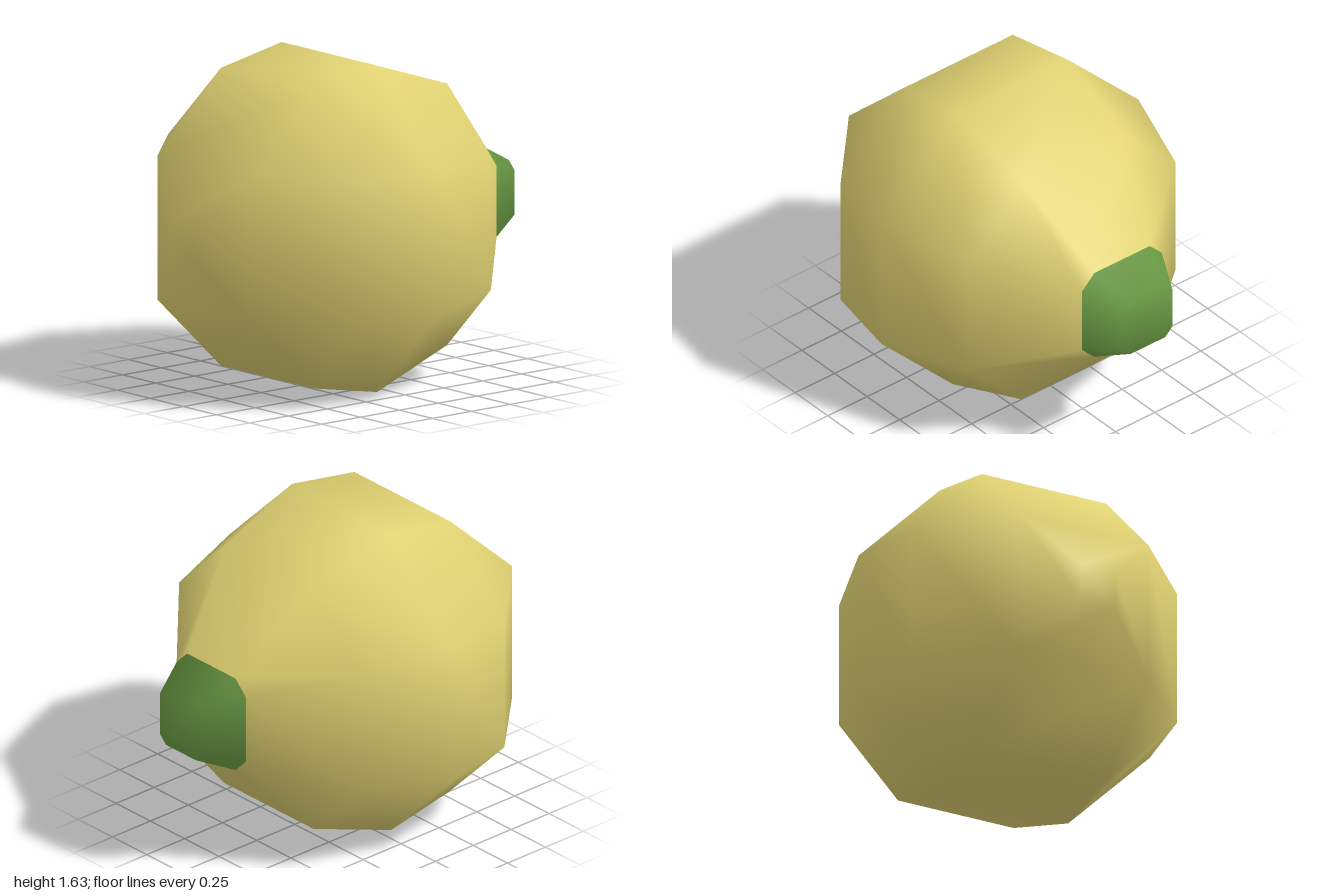
import * as THREE from 'three';
import { mergeVertices } from 'three/addons/utils/BufferGeometryUtils.js';

const CENTER_Y = 0.82;

// Chamfered square around the x axis: half width a, half length of each flat side b.
// When a equals b it becomes a plain square.
function ring([x, a, b]) {
  return [[a, -b], [a, b], [b, a], [-b, a], [-a, b], [-a, -b], [-b, -a], [b, -a]]
    .map(([y, z]) => new THREE.Vector3(x, y, z));
}

// Skin a list of cross-sections, with optional flat caps, as one smooth surface.
function skin(sections, capStart, capEnd) {
  const rings = sections.map(ring);
  const positions = [];
  const tri = (p, q, r) => {
    if (p.distanceTo(q) < 1e-6 || q.distanceTo(r) < 1e-6 || r.distanceTo(p) < 1e-6) return;
    for (const v of [p, q, r]) positions.push(v.x, v.y, v.z);
  };
  for (let i = 0; i < rings.length - 1; i++) {
    for (let j = 0; j < 8; j++) {
      const k = (j + 1) % 8;
      const [a, b, c, d] = [rings[i][j], rings[i][k], rings[i + 1][k], rings[i + 1][j]];
      tri(a, b, c);
      tri(a, c, d);
    }
  }
  const first = rings[0], last = rings[rings.length - 1];
  for (let j = 1; j < 7; j++) {
    if (capStart) tri(first[0], first[j + 1], first[j]);
    if (capEnd) tri(last[0], last[j], last[j + 1]);
  }
  const geometry = new THREE.BufferGeometry();
  geometry.setAttribute('position', new THREE.Float32BufferAttribute(positions, 3));
  const merged = mergeVertices(geometry, 1e-4);
  merged.computeVertexNormals();
  return merged;
}

export function createModel() {
  const yellow = new THREE.MeshStandardMaterial({ color: 0xe0d272 });
  yellow.name = 'yellow peel';
  const green = new THREE.MeshStandardMaterial({ color: 0x6a9a44 });
  green.name = 'green stem';

  const group = new THREE.Group();
  group.name = 'fruit';

  // Fruit body, from the blunt tip to the stem
  const body = new THREE.Mesh(skin([
    [-1, 0.095, 0.095],
    [-0.86, 0.36, 0.36],
    [-0.46, 0.745, 0.35],
    [-0.06, 0.817, 0.36],
    [0.42, 0.655, 0.325],
    [0.8, 0.253, 0.177],
  ], true, false), yellow);
  body.name = 'fruitBody';

  // Short stem stub, shaded as one soft dome facing outward
  const stemGeometry = skin([[0.8, 0.253, 0.177], [1, 0.155, 0.11]], false, true);
  const { position, normal } = stemGeometry.attributes;
  const n = new THREE.Vector3();
  for (let i = 0; i < position.count; i++) {
    n.set(1, position.getY(i) * 2.5, position.getZ(i) * 2.5).normalize();
    normal.setXYZ(i, n.x, n.y, n.z);
  }
  const stem = new THREE.Mesh(stemGeometry, green);
  stem.name = 'stem';

  for (const part of [body, stem]) {
    part.position.y = CENTER_Y;
    group.add(part);
  }
  return group;
}
